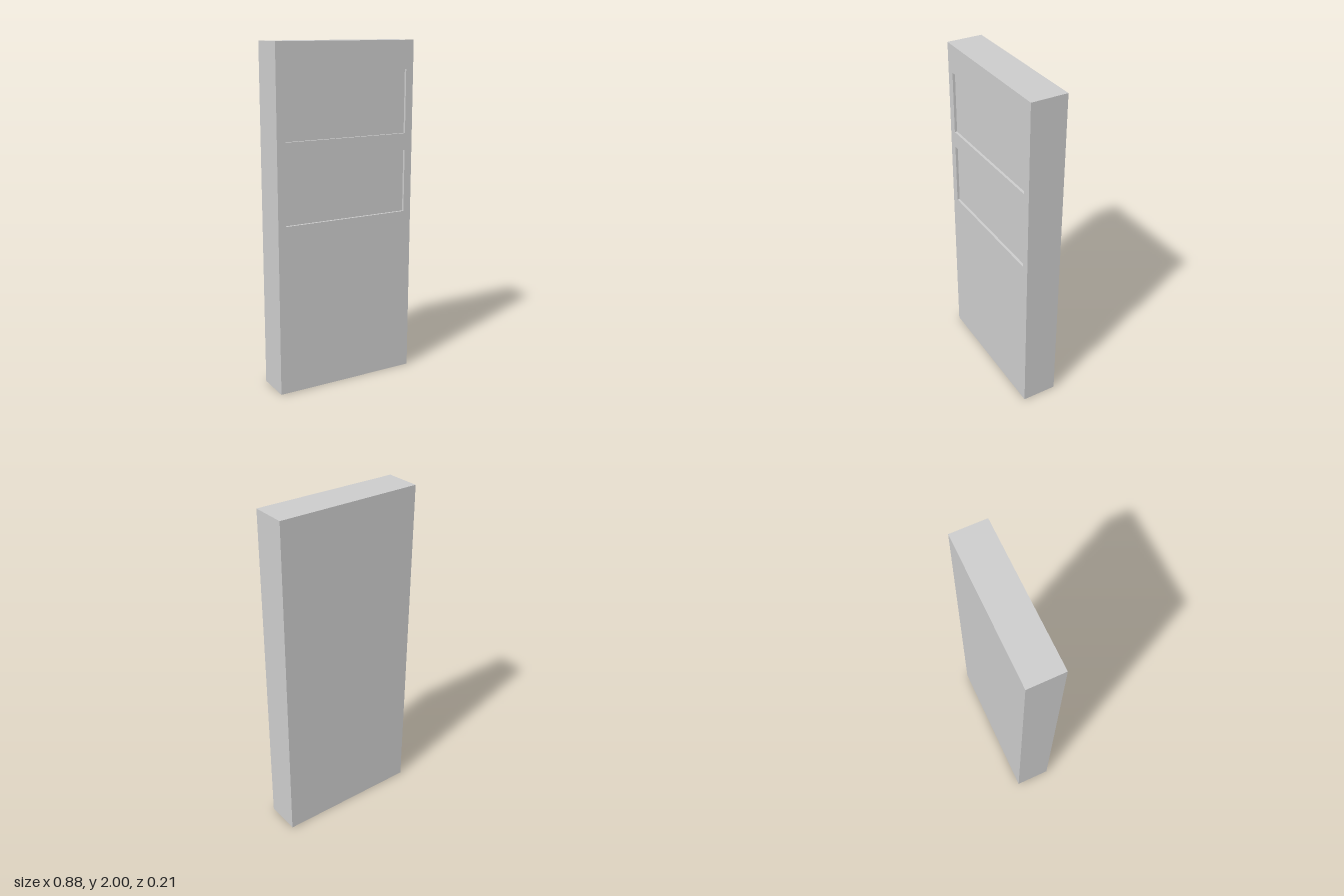
import * as THREE from 'three';

const W = 0.875, H = 2, D = 0.212;     // slab size
const RECESS = 0.015;                  // depth of the sunken panels
const PANEL_W = 0.78, PANEL_H = 0.37;
const PANELS = { lowerPanel: 1.183, upperPanel: 1.651 }; // centre heights

// Box without its +z face; inward = true turns the walls to face inside
function openBox(w, h, d, inward = false) {
  const geo = new THREE.BoxGeometry(w, h, d);
  const idx = Array.from(geo.index.array);
  idx.splice(24, 6);
  if (inward) {
    idx.reverse();
    const n = geo.attributes.normal;
    for (let i = 0; i < n.count; i++) n.setXYZ(i, -n.getX(i), -n.getY(i), -n.getZ(i));
  }
  geo.clearGroups();
  geo.setIndex(idx);
  return geo;
}

function rectangle(path, w, h, cy) {
  path.moveTo(-w / 2, cy - h / 2);
  path.lineTo(w / 2, cy - h / 2);
  path.lineTo(w / 2, cy + h / 2);
  path.lineTo(-w / 2, cy + h / 2);
  path.closePath();
  return path;
}

export function createModel() {
  const model = new THREE.Group();
  model.name = 'panelledSlab';
  const material = new THREE.MeshStandardMaterial({ color: 0xcccccc });

  const add = (name, geo, y, z) => {
    const mesh = new THREE.Mesh(geo, material);
    mesh.name = name;
    mesh.position.set(0, y, z);
    model.add(mesh);
  };

  // Sides, back, top and bottom
  add('slabBody', openBox(W, H, D), H / 2, 0);

  // Front face with an opening for each panel
  const front = rectangle(new THREE.Shape(), W, H, H / 2);
  for (const y of Object.values(PANELS)) {
    front.holes.push(rectangle(new THREE.Path(), PANEL_W, PANEL_H, y));
  }
  add('frontFace', new THREE.ShapeGeometry(front), 0, D / 2);

  // Sunken panels: floor and four shallow walls
  for (const [name, y] of Object.entries(PANELS)) {
    add(name, openBox(PANEL_W, PANEL_H, RECESS, true), y, D / 2 - RECESS / 2);
  }

  return model;
}
